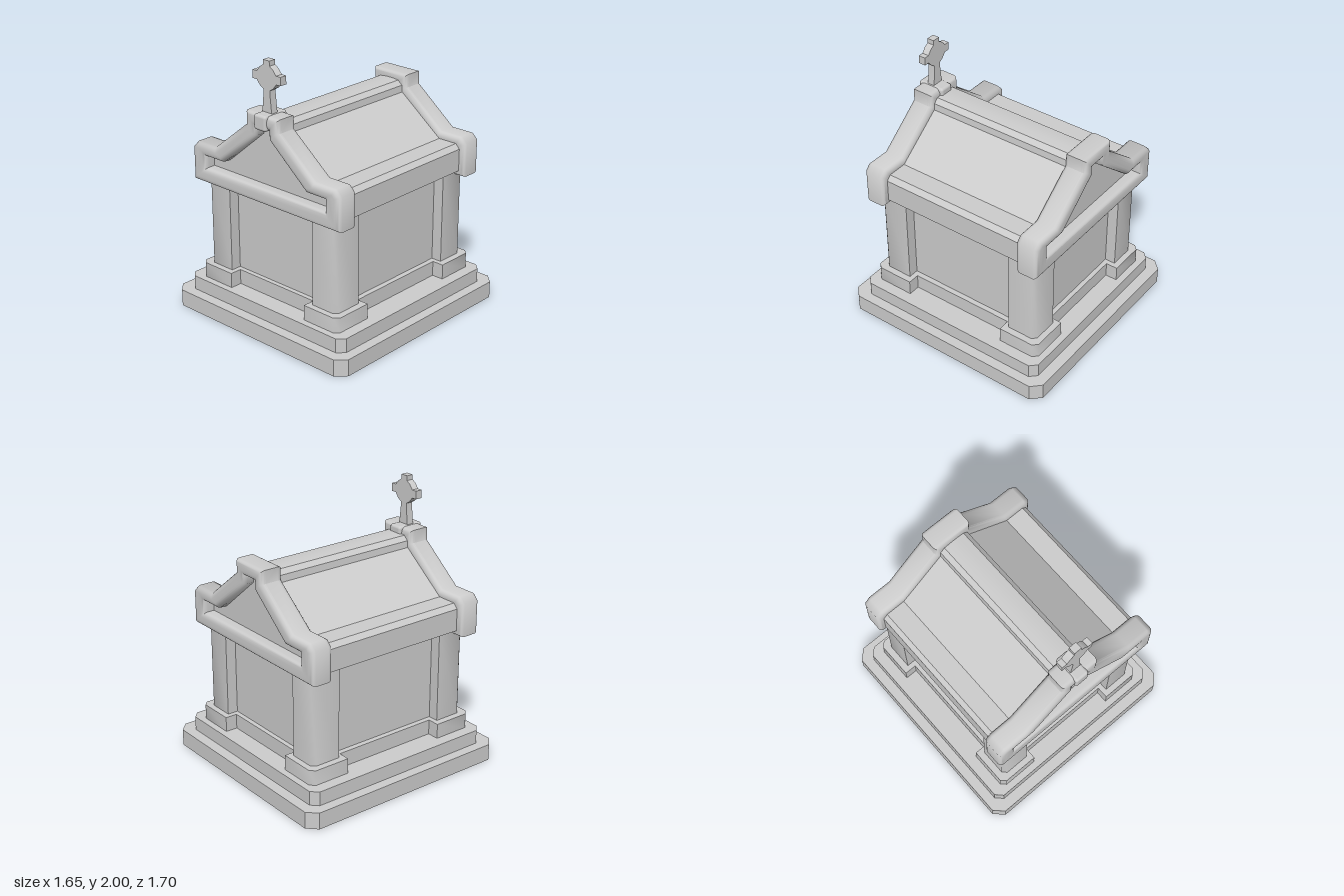
import * as THREE from 'three';
import { toCreasedNormals } from 'three/addons/utils/BufferGeometryUtils.js';
import { RoundedBoxGeometry } from 'three/addons/geometries/RoundedBoxGeometry.js';

const stone = new THREE.MeshStandardMaterial({ color: 0xcccccc });
const shell = new THREE.MeshStandardMaterial({ color: 0xcccccc, side: THREE.DoubleSide });

function part(name, geometry, material = stone) {
  const mesh = new THREE.Mesh(geometry, material);
  mesh.name = name;
  return mesh;
}

const toVectors = (points) => points.map(([x, y]) => new THREE.Vector2(x, y));

// Complete a right-hand half outline (listed bottom to top) with its mirror image
const mirrorX = (half) => [...half, ...half.map(([x, y]) => [-x, y]).reverse()];

// Repeat one corner's outline in all four quadrants, counter-clockwise
function fourCorners(corner) {
  const half = [...corner, ...corner.map(([x, z]) => [-x, z]).reverse()];
  return [...half, ...half.map(([x, z]) => [-x, -z])];
}

// Rectangle with cut corners
const cutRectangle = (hx, hz, cut) => fourCorners([[hx, hz - cut], [hx - cut, hz]]);

// Rectangle whose corners stand forward as piers beginning at px and pz
const pierOutline = (hx, hz, px, pz, inset, cut) => fourCorners([
  [hx - inset, pz], [hx, pz], [hx, hz - cut], [hx - cut, hz], [px, hz], [px, hz - inset],
]);

// Upright prism from a plan outline
function prism(outline, y0, y1) {
  const geometry = new THREE.ExtrudeGeometry(new THREE.Shape(toVectors(outline)), {
    depth: y1 - y0, bevelEnabled: false,
  });
  geometry.rotateX(-Math.PI / 2).translate(0, y0, 0);
  return toCreasedNormals(geometry, 0.9);
}

// Hollow stepped base: cut rectangles joined ring by ring, capped on top
function steppedBaseGeometry() {
  const lower = cutRectangle(0.825, 0.85, 0.07);
  const upper = cutRectangle(0.75, 0.77, 0.05);
  const rings = [[lower, 0], [lower, 0.125], [upper, 0.125], [upper, 0.23]];
  const positions = [];
  const index = [];
  const n = lower.length;
  for (const [ring, y] of rings) {
    for (const [x, z] of ring) positions.push(x, y, -z);
  }
  for (let r = 0; r < rings.length - 1; r++) {
    for (let i = 0; i < n; i++) {
      const a = r * n + i;
      const b = r * n + (i + 1) % n;
      index.push(a, b, b + n, a, b + n, a + n);
    }
  }
  const top = (rings.length - 1) * n;
  for (let i = 1; i < n - 1; i++) index.push(top, top + i, top + i + 1);
  const indexed = new THREE.BufferGeometry();
  indexed.setAttribute('position', new THREE.Float32BufferAttribute(positions, 3));
  indexed.setIndex(index);
  const geometry = indexed.toNonIndexed();
  geometry.computeVertexNormals();
  return geometry;
}

// Rounded frame following the gable, with an opening for the recessed panel
function gableFrameGeometry() {
  const shape = new THREE.Shape(toVectors(mirrorX([
    [0.70, 0.985], [0.70, 1.235], [0.655, 1.28], [0.475, 1.28], [0.155, 1.535], [0.155, 1.632],
  ])));
  shape.holes.push(new THREE.Path(toVectors(mirrorX([
    [0.567, 1.10], [0.567, 1.187], [0.40, 1.187], [0.06, 1.47], [0.06, 1.535],
  ]).reverse())));
  const geometry = new THREE.ExtrudeGeometry(shape, {
    depth: 0.105, bevelThickness: 0.036, bevelSize: 0.04, bevelOffset: -0.04, bevelSegments: 5,
  });
  geometry.translate(0, 0, -0.0525);
  return toCreasedNormals(geometry, 0.9);
}

// Roof body, whose end faces form the gable panels
function roofGeometry() {
  const shape = new THREE.Shape(toVectors(mirrorX([
    [0.66, 1.03], [0.66, 1.195], [0.627, 1.23], [0.477, 1.23], [0.125, 1.50],
    [0.12, 1.55], [0.085, 1.582], [0.03, 1.588],
  ])));
  const geometry = new THREE.ExtrudeGeometry(shape, { depth: 1.31, bevelEnabled: false });
  geometry.translate(0, 0, -0.655);
  return toCreasedNormals(geometry, 0.6);
}

// Cross with a flared stem and a wheel-like centre
function crossGeometry() {
  const shape = new THREE.Shape(toVectors(mirrorX([
    [0.045, 1.62], [0.03, 1.77], [0.03, 1.795], [0.062, 1.815], [0.09, 1.85], [0.13, 1.85],
    [0.13, 1.91], [0.09, 1.91], [0.062, 1.945], [0.03, 1.965], [0.03, 2.0],
  ])));
  const geometry = new THREE.ExtrudeGeometry(shape, { depth: 0.054, bevelEnabled: false });
  geometry.translate(0, 0, 0.628);
  return toCreasedNormals(geometry, 0.5);
}

export function createModel() {
  const model = new THREE.Group();
  model.name = 'mausoleum';

  // Base, plinth and walls with corner piers
  model.add(part('steppedBase', steppedBaseGeometry(), shell));
  model.add(part('plinth', prism(pierOutline(0.665, 0.72, 0.36, 0.41, 0.09, 0.035), 0.23, 0.342)));
  model.add(part('wallsWithCornerPiers',
    prism(pierOutline(0.615, 0.675, 0.398, 0.448, 0.08, 0.03), 0.342, 1.035)));

  // Roof with a gable frame at each end
  model.add(part('roof', roofGeometry()));
  const frame = gableFrameGeometry();
  for (const [name, z] of [['frontGableFrame', 0.654], ['backGableFrame', -0.654]]) {
    const mesh = part(name, frame);
    mesh.position.z = z;
    model.add(mesh);
  }

  // Saddle block and cross on the front gable
  const saddle = part('crossSaddle', new RoundedBoxGeometry(0.112, 0.112, 0.212, 3, 0.02));
  saddle.position.set(0, 1.582, 0.652);
  model.add(saddle);
  model.add(part('cross', crossGeometry()));

  return model;
}
